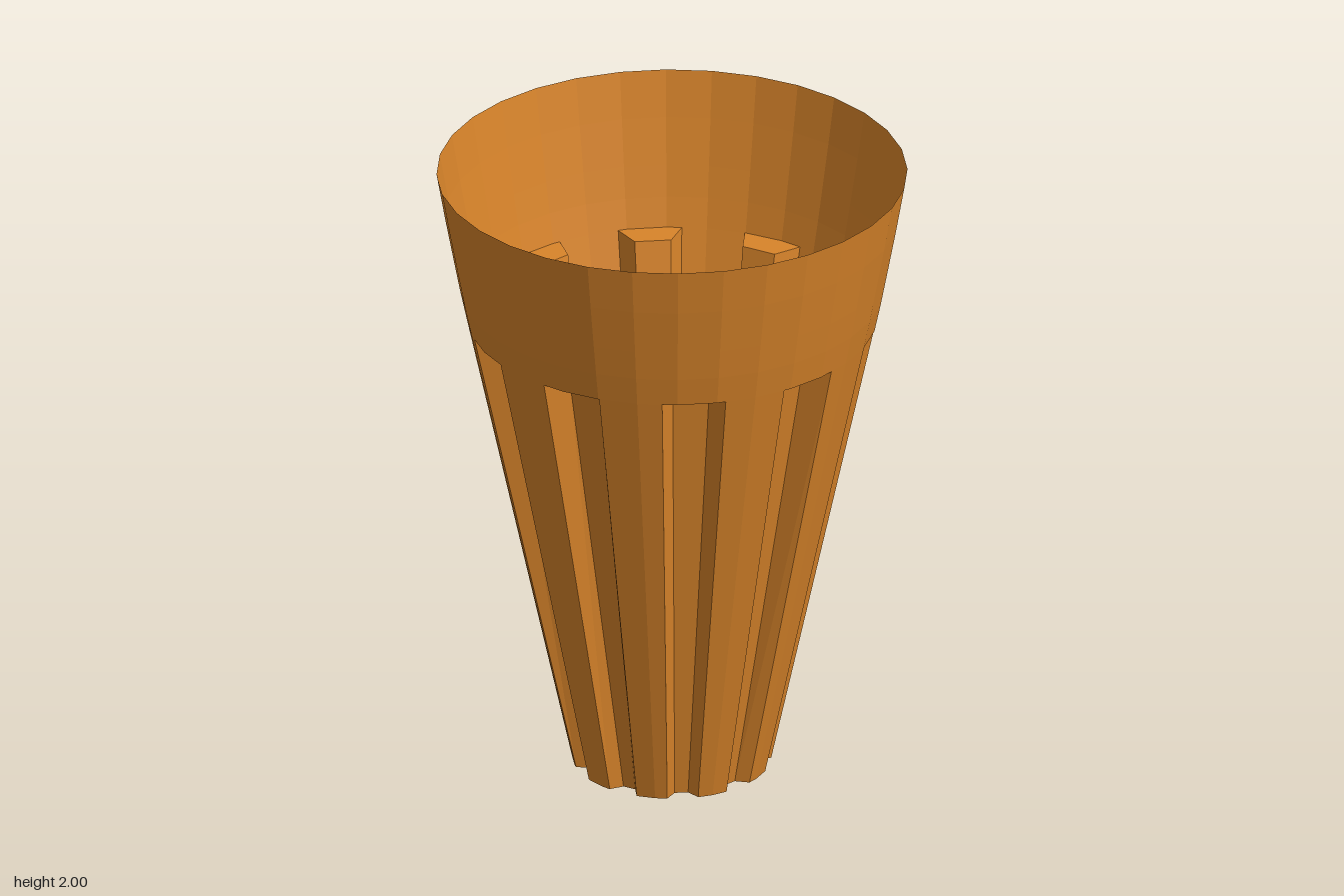
import * as THREE from 'three';

const SIDES = 32, GROOVES = 10, GROOVE_TOP = 1.505;
const STEP = (2 * Math.PI) / SIDES;
const rad = THREE.MathUtils.degToRad;
const HALF = rad(9); // half the angle a groove spans at the wall
const grooveAngle = (i) => rad(7 + (i * 360) / GROOVES);

// Point on a circle; angle runs from +z towards +x
const polar = (a, r) => [Math.sin(a) * r, Math.cos(a) * r];

// Point on the flat-sided wall of corner radius r
function onWall(a, r) {
  const m = (((a % STEP) + STEP) % STEP) - STEP / 2;
  return polar(a, (r * Math.cos(STEP / 2)) / Math.cos(m));
}

// Wall points from angle a to b, with the polygon corners between them
function wallArc(a, b, r) {
  const pts = [onWall(a, r)];
  for (let k = Math.ceil(a / STEP + 1e-6); k * STEP < b - 1e-6; k++) pts.push(polar(k * STEP, r));
  pts.push(onWall(b, r));
  return pts;
}

// Floor corners of a groove
const grooveFloor = (c, r, half) => [polar(c - half, r), polar(c + half, r)];

// Fluted cross-section
function section(r, floorR, floorHalf) {
  const pts = [];
  for (let i = 0; i < GROOVES; i++) {
    const c = grooveAngle(i);
    pts.push(...grooveFloor(c, floorR, floorHalf));
    pts.push(...wallArc(c + HALF, grooveAngle(i + 1) - HALF, r));
  }
  return pts;
}

// Horizontal flat polygon at height y
function flat(pts, y) {
  const shape = new THREE.Shape(pts.map(([x, z]) => new THREE.Vector2(x, -z)));
  return new THREE.ShapeGeometry(shape).rotateX(-Math.PI / 2).translate(0, y, 0);
}

// Skin between two matching cross-sections
function skin(lower, y0, upper, y1) {
  const pos = [], n = lower.length;
  for (let i = 0; i < n; i++) {
    const j = (i + 1) % n;
    const a = [lower[i][0], y0, lower[i][1]], b = [lower[j][0], y0, lower[j][1]];
    const c = [upper[j][0], y1, upper[j][1]], d = [upper[i][0], y1, upper[i][1]];
    pos.push(...a, ...b, ...c, ...a, ...c, ...d);
  }
  const g = new THREE.BufferGeometry();
  g.setAttribute('position', new THREE.Float32BufferAttribute(pos, 3));
  g.computeVertexNormals();
  return g;
}

export function createModel() {
  const group = new THREE.Group();
  group.name = 'flutedCup';
  const material = new THREE.MeshStandardMaterial({ color: 0xd8842a, flatShading: true, side: THREE.DoubleSide });
  const add = (geometry, name) => {
    const mesh = new THREE.Mesh(geometry, material);
    mesh.name = name;
    group.add(mesh);
  };

  const R0 = 0.308, R1 = 0.634; // wall radius at the base and the groove tops
  const F1 = 0.542, H1 = rad(6); // groove floor at the top
  const base = section(R0, 0.266, rad(4.5));

  // Tapered body with grooves, and its notched base
  add(skin(base, 0, section(R1, F1, H1), GROOVE_TOP), 'flutedWall');
  add(flat(base, 0), 'base');

  // Smooth upper band, open at the top
  const profile = [[R1, GROOVE_TOP], [0.654, 1.6], [0.673, 1.7], [0.701, 1.85], [0.727, 2]];
  add(new THREE.LatheGeometry(profile.map(([x, y]) => new THREE.Vector2(x, y)), SIDES), 'upperBand');

  // Ledges closing the top of each groove
  for (let i = 0; i < GROOVES; i++) {
    const c = grooveAngle(i);
    const pts = [...wallArc(c - HALF, c + HALF, R1), ...grooveFloor(c, F1, H1).reverse()];
    add(flat(pts, GROOVE_TOP), 'grooveLedge');
  }
  return group;
}
